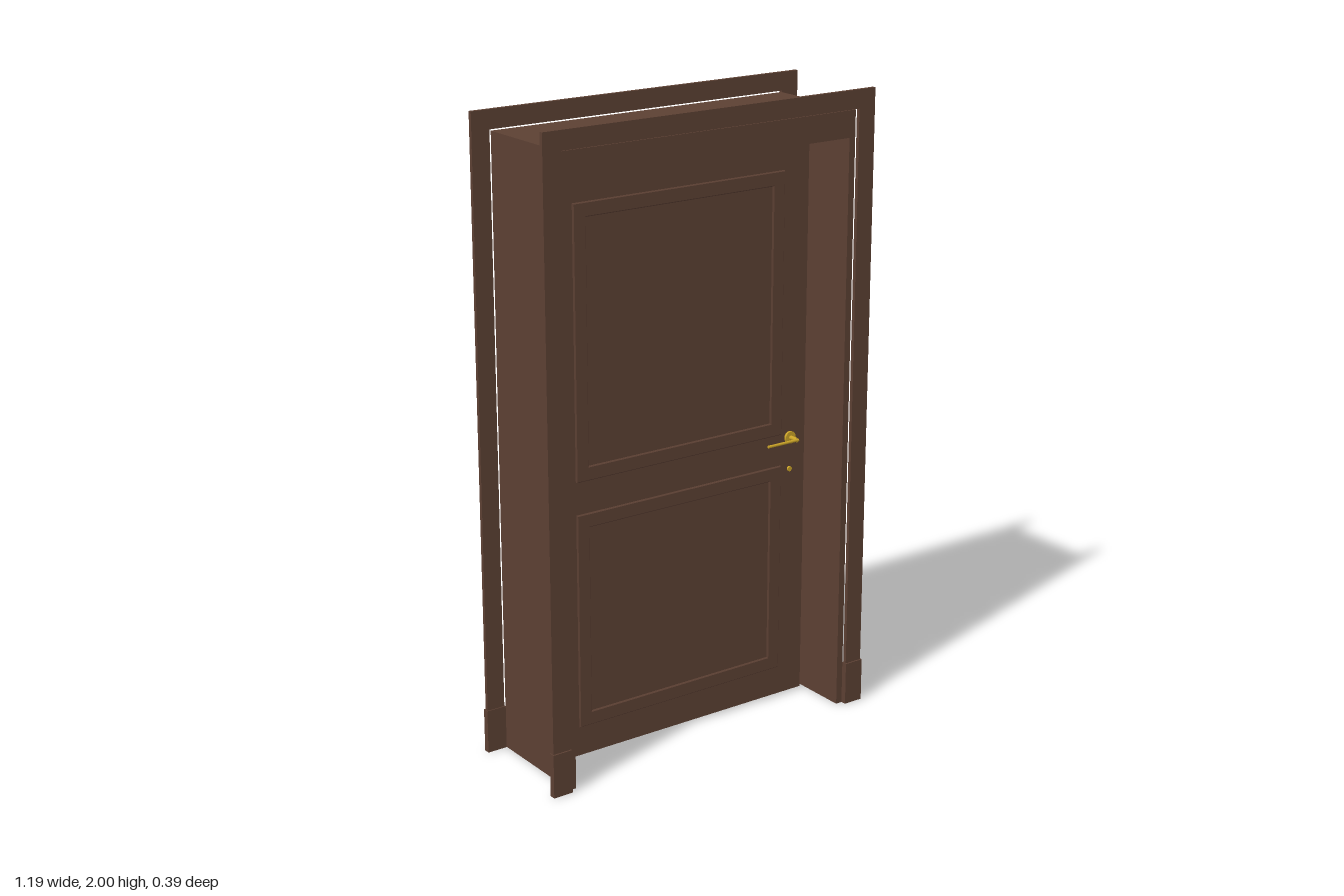
import * as THREE from 'three';

const wood = new THREE.MeshStandardMaterial({ color: 0x5c4033 });
const brass = new THREE.MeshStandardMaterial({ color: 0xc9a227 });

function add(parent, name, geometry, material, x = 0, y = 0, z = 0) {
  const mesh = new THREE.Mesh(geometry, material);
  mesh.name = name;
  mesh.position.set(x, y, z);
  parent.add(mesh);
  return mesh;
}

// Upside-down U standing on the floor, extruded from z0 to z1
function arch(outerX, outerY, innerX, innerY, z0, z1) {
  const shape = new THREE.Shape([
    [-outerX, 0], [-innerX, 0], [-innerX, innerY], [innerX, innerY],
    [innerX, 0], [outerX, 0], [outerX, outerY], [-outerX, outerY],
  ].map(([x, y]) => new THREE.Vector2(x, y)));
  return new THREE.ExtrudeGeometry(shape, { depth: z1 - z0, bevelEnabled: false }).translate(0, 0, z0);
}

function rect(Type, w, y0, y1) {
  return new Type([[-w, y0], [w, y0], [w, y1], [-w, y1]].map(([x, y]) => new THREE.Vector2(x, y)));
}

// Rectangular ring around a panel
function ring(w, y0, y1, width, depth, bevel = 0) {
  const shape = rect(THREE.Shape, w, y0, y1);
  shape.holes.push(rect(THREE.Path, w - width, y0 + width, y1 - width));
  return new THREE.ExtrudeGeometry(shape, {
    depth, bevelEnabled: bevel > 0, bevelThickness: bevel, bevelSize: bevel, bevelOffset: -bevel, bevelSegments: 1,
  });
}

const FACE = 0.02; // half the thickness of the door leaf

// Mouldings, handle and keyhole of one door face, pointing to +z
function doorFace(name, knobX, gilded) {
  const face = new THREE.Group();
  face.name = name;
  for (const [y0, y1] of [[0.105, 0.797], [0.9, 1.745]]) {
    add(face, 'panelMoulding', ring(0.385, y0, y1, 0.045, 0.003, 0.003), wood, 0, 0, FACE);
    if (gilded) add(face, 'panelFillet', ring(0.344, y0 + 0.041, y1 - 0.041, 0.006, 0.004), brass, 0, 0, FACE);
  }
  const disc = (r, d) => new THREE.CylinderGeometry(r, r, d, 24).rotateX(Math.PI / 2);
  add(face, 'handleRosette', disc(0.02, 0.008), brass, knobX, 0.885, FACE + 0.004);
  add(face, 'handleNeck', disc(0.007, 0.04), brass, knobX, 0.885, FACE + 0.02);
  const side = Math.sign(knobX);
  const lever = new THREE.CylinderGeometry(0.0045, 0.0045, 0.12, 12).rotateZ(Math.PI / 2);
  add(face, 'handleLever', lever, brass, knobX - side * 0.055, 0.885, FACE + 0.04);
  add(face, 'keyhole', disc(0.008, 0.006), brass, knobX, 0.78, FACE + 0.003);
  return face;
}

export function createModel() {
  const model = new THREE.Group();
  model.name = 'door';

  // Frame: deep jamb lining with a narrow stop behind the leaf
  const frame = new THREE.Group();
  frame.name = 'frame';
  model.add(frame);
  add(frame, 'jamb', arch(0.526, 1.938, 0.504, 1.855, -0.18, 0.18), wood);
  add(frame, 'doorStop', arch(0.505, 1.856, 0.494, 1.847, -0.035, -0.02), wood);

  // Casings and plinth blocks on both sides of the wall
  for (const s of [1, -1]) {
    const casing = arch(0.59, 2, 0.53, 1.942, 0.18, 0.192);
    if (s < 0) casing.rotateY(Math.PI);
    add(frame, s > 0 ? 'frontCasing' : 'backCasing', casing, wood);
    for (const x of [-0.56, 0.56]) {
      add(frame, 'plinthBlock', new THREE.BoxGeometry(0.066, 0.14, 0.02), wood, x, 0.07, s * 0.187);
    }
  }

  // Door leaf with its two faces
  const leaf = new THREE.Group();
  leaf.name = 'leaf';
  model.add(leaf);
  add(leaf, 'leafPanel', new THREE.BoxGeometry(0.96, 1.836, 2 * FACE), wood, 0, 0.928, 0);
  leaf.add(doorFace('frontFace', 0.42, false));
  const back = doorFace('backFace', -0.42, true);
  back.rotation.y = Math.PI;
  leaf.add(back);

  // Hinges
  for (const y of [0.222, 0.93, 1.635]) {
    add(model, 'hinge', new THREE.CylinderGeometry(0.007, 0.007, 0.088, 12), brass, -0.489, y, FACE);
  }
  return model;
}
